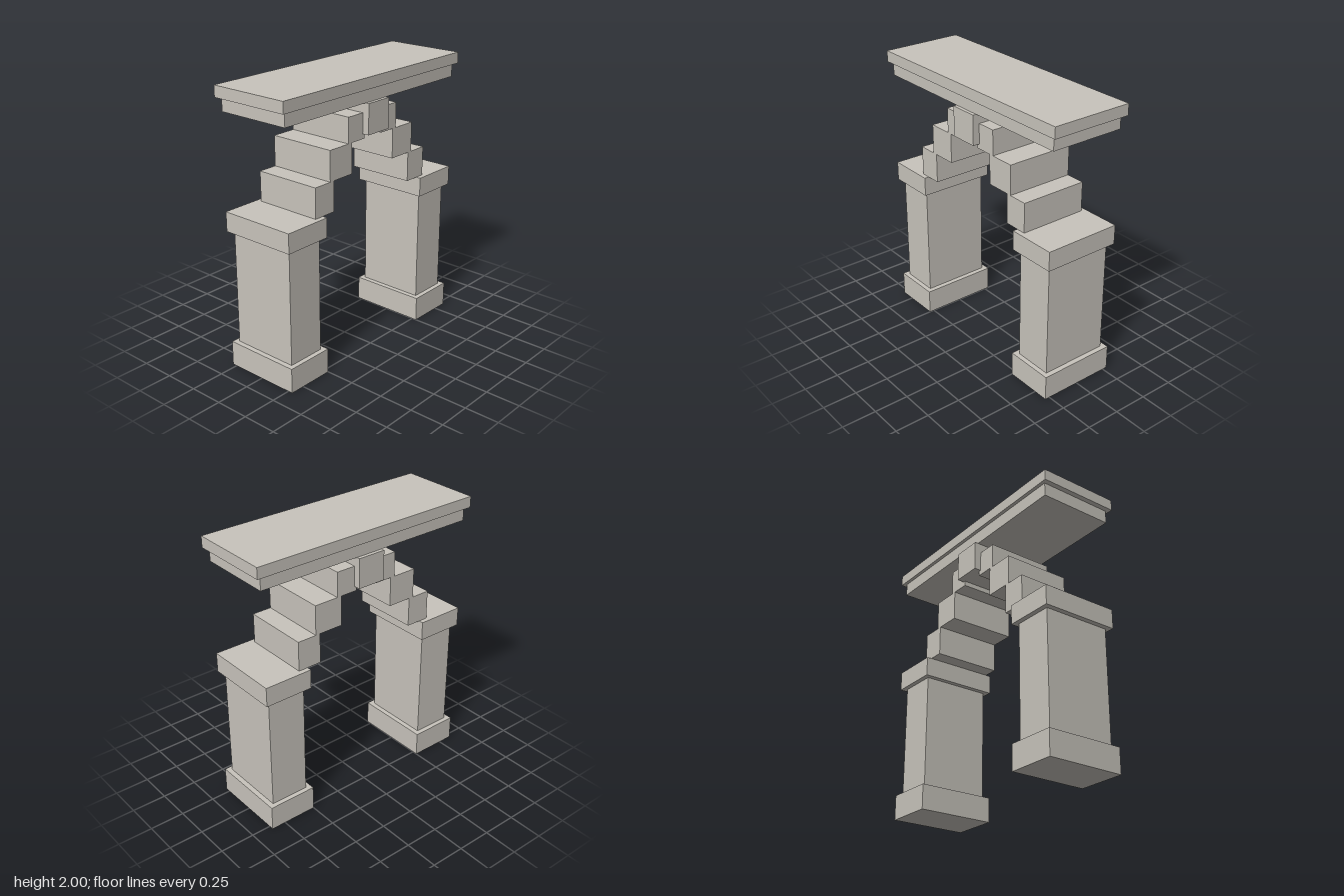
import * as THREE from 'three';

export function createModel() {
  const model = new THREE.Group();
  model.name = 'stoneArch';
  const stone = new THREE.MeshStandardMaterial({ color: 0xc8c4bc });
  stone.name = 'pale stone';

  // Box given by its x range, y range and z range
  function block(name, parent, [x0, x1], [y0, y1], [z0, z1]) {
    const mesh = new THREE.Mesh(new THREE.BoxGeometry(x1 - x0, y1 - y0, z1 - z0), stone);
    mesh.name = name;
    mesh.position.set((x0 + x1) / 2, (y0 + y1) / 2, (z0 + z1) / 2);
    parent.add(mesh);
  }

  // Piers and stepped arch stones, mirrored left and right
  const sideParts = [
    ['pierBase', 0.5, 0.857, 0, 0.18, 0.285],
    ['pierShaft', 0.537, 0.82, 0.18, 1.005, 0.25],
    ['pierCapital', 0.5, 0.857, 1.005, 1.145, 0.285],
    ['lowerArchStone', 0.393, 0.57, 1.145, 1.36, 0.25],
    ['middleArchStone', 0.214, 0.428, 1.36, 1.575, 0.25],
    ['upperArchStone', 0.087, 0.247, 1.575, 1.755, 0.25],
  ];
  for (const side of [1, -1]) {
    const half = new THREE.Group();
    half.name = side > 0 ? 'leftSide' : 'rightSide';
    for (const [name, x0, x1, y0, y1, d] of sideParts) {
      block(name, half, side > 0 ? [x0, x1] : [-x1, -x0], [y0, y1], [-d, d]);
    }
    model.add(half);
  }

  // Keystone with a raised facing on the front and back
  const keyX = [-0.105, 0.105];
  const keyY = [1.61, 1.825];
  block('keystone', model, keyX, keyY, [-0.253, 0.253]);
  block('keystoneFrontFacing', model, keyX, keyY, [0.253, 0.3]);
  block('keystoneBackFacing', model, keyX, keyY, [-0.3, -0.253]);

  // Lintel and cornice
  block('lintel', model, [-0.857, 0.857], [1.825, 1.92], [-0.275, 0.275]);
  block('cornice', model, [-0.893, 0.893], [1.92, 2], [-0.3, 0.3]);

  return model;
}
